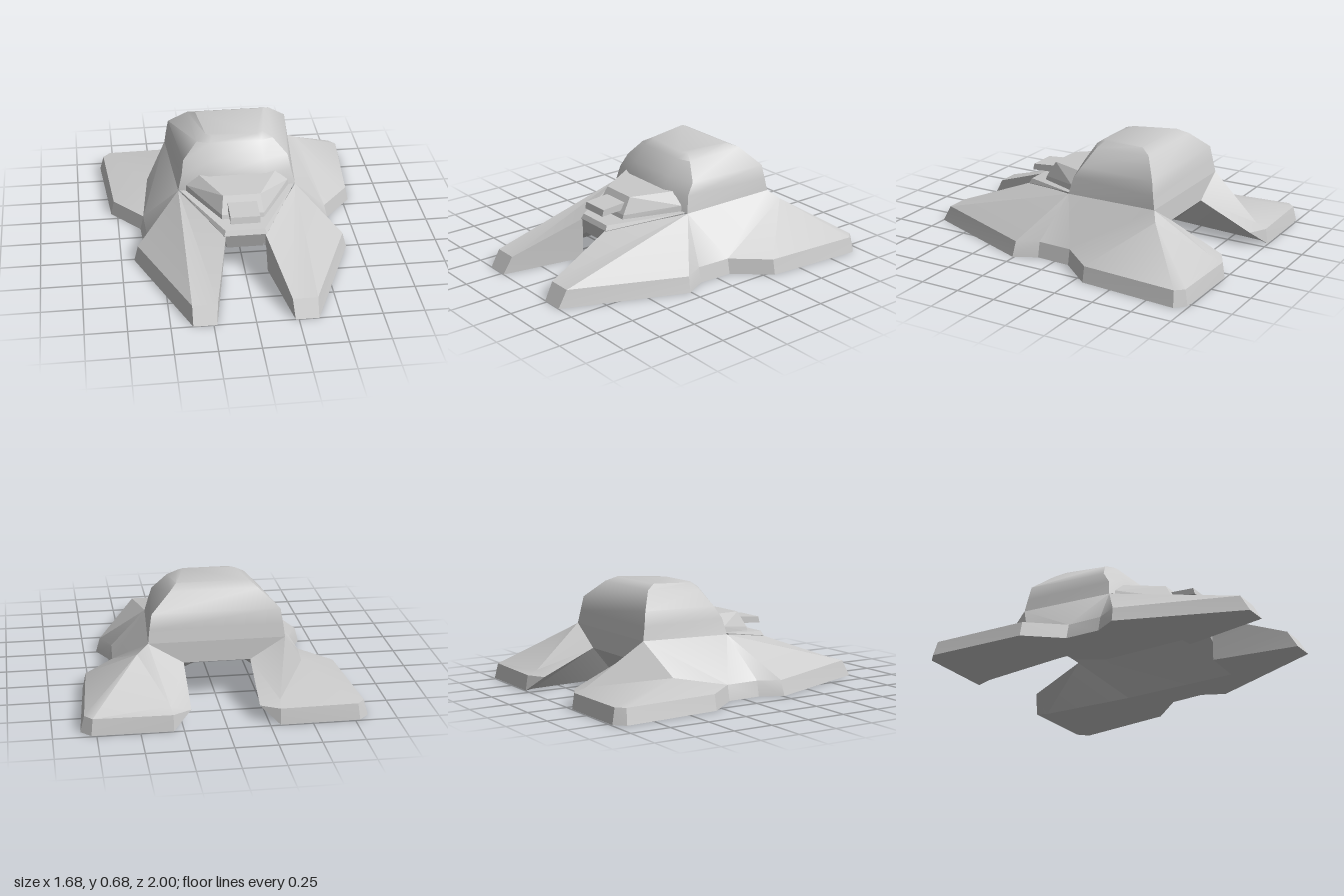
import * as THREE from 'three';
import { toCreasedNormals } from 'three/addons/utils/BufferGeometryUtils.js';
import { ConvexGeometry } from 'three/addons/geometries/ConvexGeometry.js';

const grey = new THREE.MeshStandardMaterial({ color: 0xcccccc });

function addMesh(group, name, geometry) {
  const mesh = new THREE.Mesh(geometry, grey);
  mesh.name = name;
  group.add(mesh);
}

// Triangles from indexed points, smoothed only across gentle edges.
function surface(points, tris, crease) {
  const geometry = new THREE.BufferGeometry();
  geometry.setAttribute('position', new THREE.Float32BufferAttribute(points.flat(), 3));
  geometry.setIndex(tris.flat());
  return toCreasedNormals(geometry, crease);
}

// Convex block from points on the +x half, mirrored.
function convex(half) {
  const pts = half.flatMap(([x, y, z]) => [new THREE.Vector3(x, y, z), new THREE.Vector3(-x, y, z)]);
  return new ConvexGeometry(pts);
}

// Rows of points on the +x half, each continued by its mirror image.
function mirrorRows(rows) {
  return rows.flatMap((half) => [...half, ...[...half].reverse().map(([x, y, z]) => [-x, y, z])]);
}

// Quad strip between two closed loops of n points, lower then upper.
function band(lower, upper, n, skip = -1) {
  const tris = [];
  for (let i = 0; i < n; i++) {
    const j = (i + 1) % n;
    if (i !== skip) tris.push([lower + i, lower + j, upper + j], [lower + i, upper + j, upper + i]);
  }
  return tris;
}

// Side pontoon: bevelled skirt with a faceted slope climbing to the hull.
// The mid-slope point differs between the two sides.
function pontoon(side, slopePoint) {
  const foot = [
    [0.23, 1], [0.37, 1], [0.67, 0.26], [0.6, 0.12], [0.61, -0.1], [0.79, -0.31], [0.84, -0.93],
    [0.78, -0.99], [0.31, -0.995], [0.34, -0.93], [0.39, -0.31], [0.4, 0.45], [0.14, 0.47],
  ];
  const top = [
    [0.22, 0.11, 0.94], [0.37, 0.11, 0.94], [0.645, 0.1, 0.25], [0.58, 0.1, 0.12],
    [0.59, 0.1, -0.1], [0.77, 0.1, -0.31], [0.815, 0.1, -0.92], [0.77, 0.1, -0.97],
    [0.31, 0.1, -0.98], [0.2, 0.1, -0.92], [0.2, 0.25, -0.58], [0.12, 0.18, 0.45],
    [0.12, 0.28, 0.48],
    [0.37, 0.36, 0.04], // 13 front shoulder
    [0.41, 0.38, -0.575], // 14 rear shoulder
    slopePoint, // 15
    [0.32, 0.125, -0.91], // 16 rear ridge foot
  ];
  const n = foot.length;
  const tris = [
    // inner front face
    [0, 1, 13], [0, 13, 12],
    // outer slope
    [1, 2, 13], [2, 3, 13], [3, 4, 13], [4, 14, 13], [4, 15, 14], [4, 5, 15], [5, 6, 15],
    // rear end
    [6, 7, 15], [7, 16, 15], [7, 8, 16], [8, 9, 16],
    // inner rear face
    [14, 15, 16], [14, 16, 10], [16, 9, 10],
  ];
  const base = top.length;
  // the belly channel closes the side between points 10 and 11
  tris.push(...band(base, 0, n, 10));
  const contour = foot.map(([x, z]) => new THREE.Vector2(x, -z));
  for (const [a, b, c] of THREE.ShapeUtils.triangulateShape(contour, [])) {
    tris.push([base + a, base + c, base + b]);
  }
  const points = [...top, ...foot.map(([x, z]) => [x, 0.005, z])].map(([x, y, z]) => [x * side, y, z]);
  const facing = side > 0 ? tris : tris.map(([a, b, c]) => [a, c, b]);
  return surface(points, facing, 0.45);
}

// Arched belly channel between the pontoons, rising to the back wall.
function belly() {
  const rows = [
    [[0.4, 0.005, 0.45], [0.12, 0.18, 0.45]],
    [[0.39, 0.005, -0.31], [0.14, 0.19, -0.31]],
    [[0.2, 0.25, -0.58], [0.14, 0.25, -0.58]],
    [[0.41, 0.38, -0.575], [0.14, 0.38, -0.575]],
  ];
  const tris = [];
  for (let r = 0; r < rows.length - 1; r++) {
    for (let c = 0; c < 3; c++) {
      const a = r * 4 + c;
      const b = a + 4;
      tris.push([a, a + 1, b + 1], [a, b + 1, b]);
    }
  }
  return surface(mirrorRows(rows), tris, 0.5);
}

// Domed cabin: six-sided rings given as front, front corner and rear corner.
function cabin() {
  const rings = [
    [[0.18, 0.37, 0.1], [0.37, 0.36, 0.04], [0.41, 0.38, -0.575]],
    [[0.18, 0.46, 0.08], [0.345, 0.46, 0.02], [0.4, 0.46, -0.56]],
    [[0.17, 0.54, 0.03], [0.33, 0.535, -0.03], [0.385, 0.55, -0.545]],
    [[0.16, 0.64, -0.04], [0.24, 0.635, -0.08], [0.265, 0.655, -0.455]],
    [[0.14, 0.67, -0.08], [0.18, 0.67, -0.11], [0.22, 0.685, -0.39]],
  ];
  const tris = [];
  for (let r = 0; r < rings.length - 1; r++) tris.push(...band(r * 6, r * 6 + 6, 6));
  const cap = (rings.length - 1) * 6;
  for (let i = 1; i < 5; i++) tris.push([cap, cap + i, cap + i + 1]);
  return surface(mirrorRows(rings), tris, 0.65);
}

export function createModel() {
  const model = new THREE.Group();
  model.name = 'hoverCraft';

  addMesh(model, 'leftPontoon', pontoon(1, [0.48, 0.335, -0.62]));
  addMesh(model, 'rightPontoon', pontoon(-1, [0.54, 0.17, -0.45]));
  addMesh(model, 'belly', belly());
  addMesh(model, 'cabin', cabin());

  // Tapering nose deck
  addMesh(model, 'nose', convex([
    [0.12, 0.31, 0.47], [0.13, 0.28, 0.485], [0.11, 0.18, 0.455],
    [0.36, 0.365, 0.05], [0.12, 0.25, 0.05],
  ]));

  // Stepped housing in front of the cabin
  addMesh(model, 'noseHousing', convex([
    [0.13, 0.32, 0.36], [0.13, 0.35, 0.35], [0.33, 0.34, 0.05], [0.32, 0.4, 0.05],
    [0.24, 0.47, 0.05], [0.115, 0.45, 0.29],
  ]));

  // Small block projecting from the housing
  addMesh(model, 'noseBlock', convex([
    [0.09, 0.36, 0.48], [0.09, 0.4, 0.47], [0.09, 0.37, 0.28], [0.09, 0.415, 0.28],
  ]));

  return model;
}
